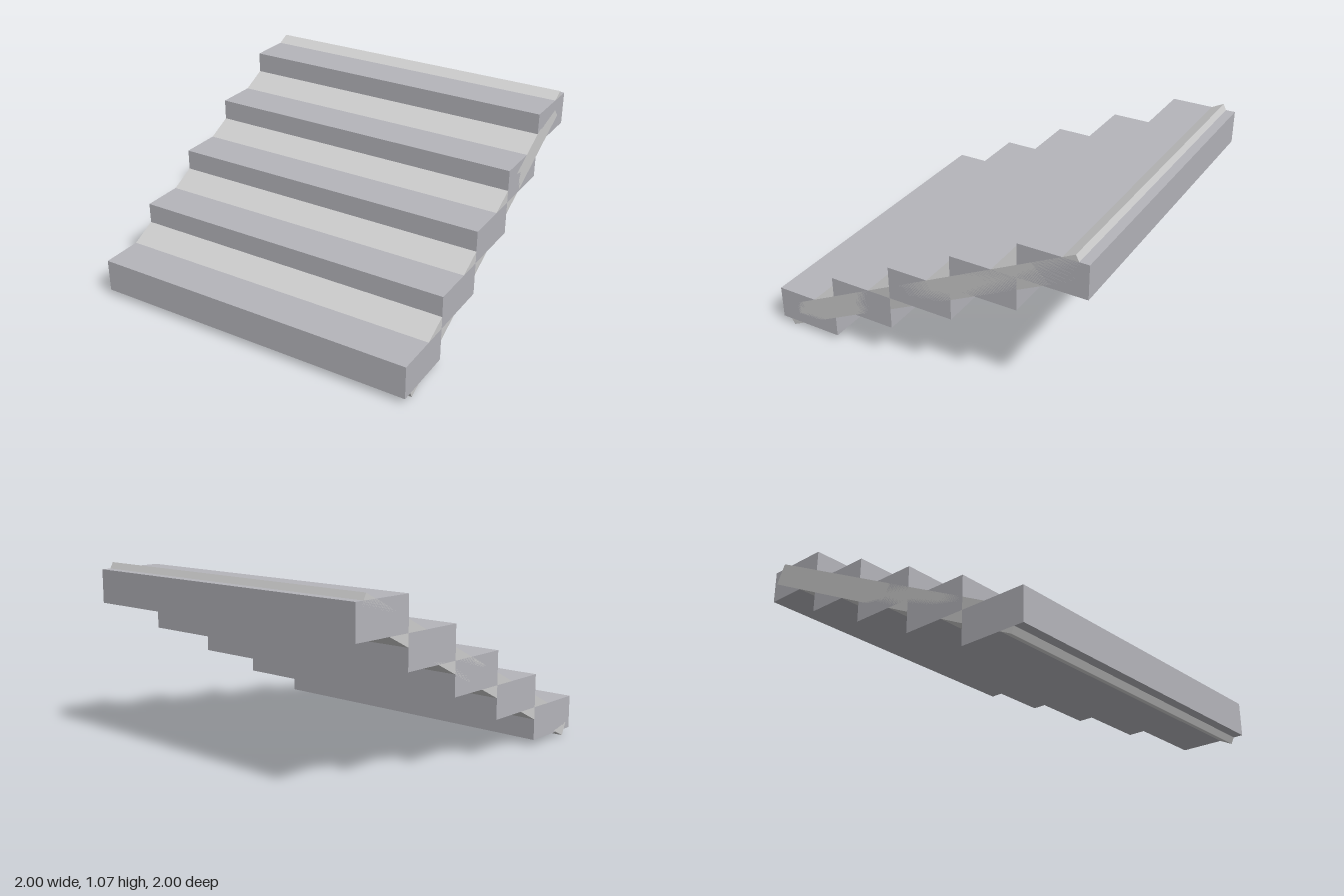
import * as THREE from 'three';

const STEPS = 5, WIDTH = 2, RISE = 0.2, RUN = 0.4;
const SLAB_LENGTH = 2.1333, SLAB_THICKNESS = 0.1333, MID_Y = 0.5367;

export function createModel() {
  const group = new THREE.Group();
  group.name = 'staircase';
  const stepMaterial = new THREE.MeshStandardMaterial({ color: 0xb4b4ba });
  const slabMaterial = new THREE.MeshStandardMaterial({ color: 0xcccccc });

  // Steps climbing from the front to the back
  const stepGeometry = new THREE.BoxGeometry(WIDTH, RISE, RUN);
  for (let i = 0; i < STEPS; i++) {
    const k = i - (STEPS - 1) / 2;
    const step = new THREE.Mesh(stepGeometry, stepMaterial);
    step.name = `step${i + 1}`;
    step.position.set(0, MID_Y + k * RISE, -k * RUN);
    group.add(step);
  }

  // Sloping slab running through all the steps
  const slab = new THREE.Mesh(
    new THREE.BoxGeometry(WIDTH, SLAB_THICKNESS, SLAB_LENGTH), slabMaterial);
  slab.name = 'slopingSlab';
  slab.position.y = MID_Y;
  slab.rotation.x = Math.atan2(RISE, RUN);
  group.add(slab);

  return group;
}
